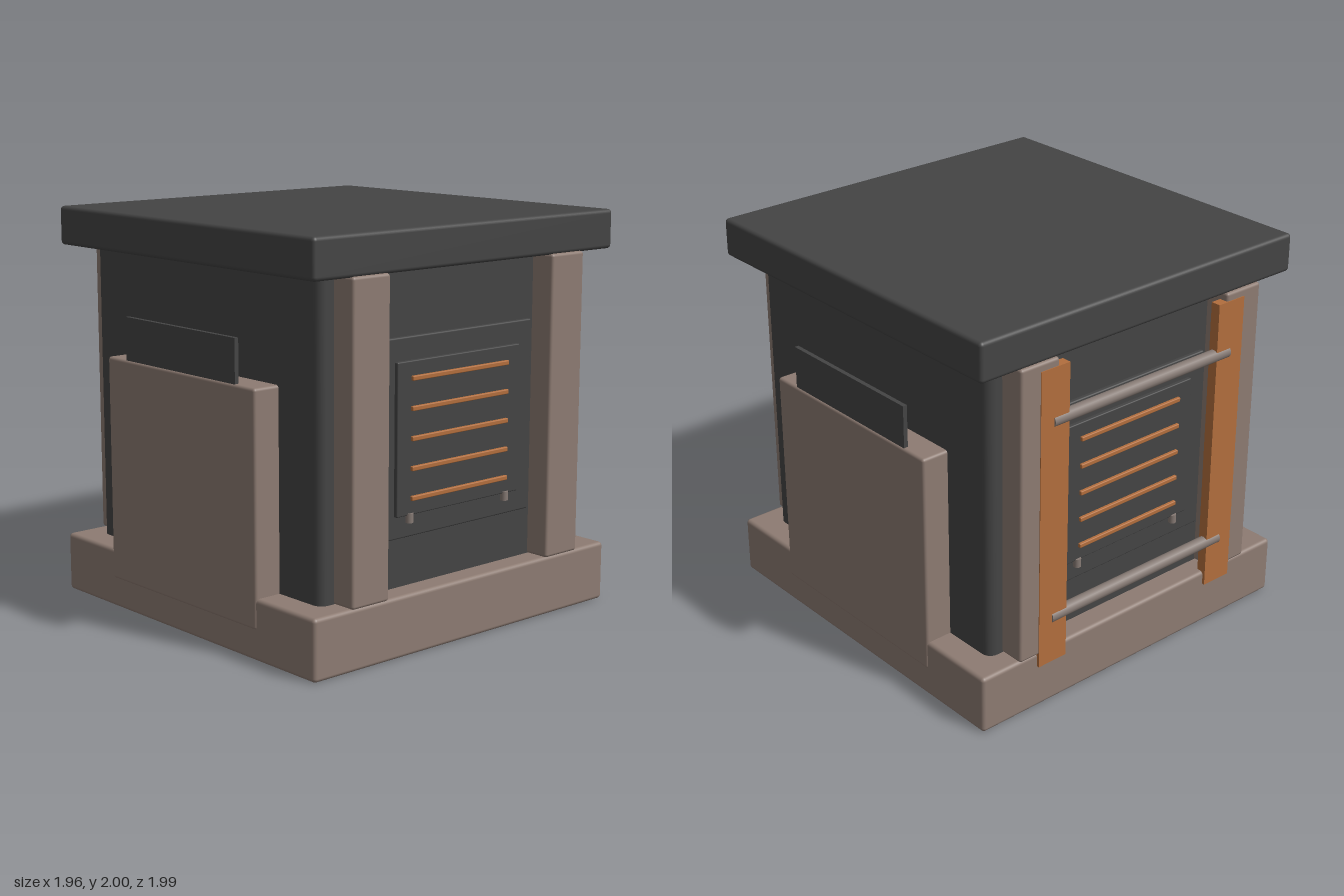
import * as THREE from 'three';
import { RoundedBoxGeometry } from 'three/addons/geometries/RoundedBoxGeometry.js';

const mat = (name, color) => {
  const m = new THREE.MeshStandardMaterial({ color });
  m.name = name;
  return m;
};

export function createModel() {
  const dark = mat('charcoal', 0x444444);
  const stone = mat('taupe stone', 0x8d7b72);
  const copper = mat('copper', 0xb26e3d);
  const steel = mat('warm grey metal', 0x857973);

  const model = new THREE.Group();
  model.name = 'ventilatedKiosk';

  // Box given by its low and high corners; r > 0 rounds the edges
  function box(parent, name, material, lo, hi, r = 0) {
    const s = hi.map((v, i) => v - lo[i]);
    const geo = r ? new RoundedBoxGeometry(...s, 3, r) : new THREE.BoxGeometry(...s);
    const mesh = new THREE.Mesh(geo, material);
    mesh.position.set(...hi.map((v, i) => (v + lo[i]) / 2));
    mesh.name = name;
    parent.add(mesh);
    return mesh;
  }

  function rod(parent, name, material, radius, length, pos, alongX) {
    const mesh = new THREE.Mesh(new THREE.CylinderGeometry(radius, radius, length, 16), material);
    if (alongX) mesh.rotation.z = Math.PI / 2;
    mesh.position.set(...pos);
    mesh.name = name;
    parent.add(mesh);
  }

  // Plinth, core and roof slab
  box(model, 'base', stone, [-0.977, 0, -0.977], [0.977, 0.3, 0.977], 0.02);
  box(model, 'body', dark, [-0.84, 0.2, -0.86], [0.84, 1.9, 0.86], 0.05);
  box(model, 'roof', dark, [-0.977, 1.805, -0.977], [0.977, 2, 0.977], 0.02);

  // Front and back: pillars, framed panel, louvre bars and small pegs
  for (const side of ['front', 'back']) {
    const face = new THREE.Group();
    face.name = side + 'Face';
    if (side === 'back') face.rotation.y = Math.PI;
    model.add(face);

    box(face, 'panelFrame', dark, [-0.505, 0.54, 0.84], [0.505, 1.49, 0.88], 0.008);
    box(face, 'ventPanel', dark, [-0.405, 0.65, 0.86], [0.405, 1.38, 0.9], 0.006);
    for (let i = 0; i < 5; i++) {
      box(face, 'louvreBar', copper,
        [-0.32, 0.719 + i * 0.142, 0.89], [0.32, 0.742 + i * 0.142, 0.915], 0.005);
    }
    for (const s of [-1, 1]) {
      box(face, 'pillar', stone,
        [s * 0.645 - 0.113, 0.298, 0.82], [s * 0.645 + 0.113, 1.81, 0.987], 0.015);
      rod(face, 'peg', steel, 0.019, 0.045, [s * 0.32, 0.637, 0.895], false);
    }
  }

  // Side slabs with a thin upright plate set into the top
  for (const s of [-1, 1]) {
    const wing = new THREE.Group();
    wing.name = s > 0 ? 'leftWing' : 'rightWing';
    if (s < 0) wing.rotation.y = Math.PI;
    model.add(wing);
    box(wing, 'sideSlab', stone, [0.8, 0.15, -0.572], [0.982, 1.285, 0.572], 0.015);
    box(wing, 'sidePlate', dark, [0.952, 1.2, -0.424], [0.974, 1.498, 0.424]);
  }

  // Copper uprights and cross rails on the back
  const rack = new THREE.Group();
  rack.name = 'backRack';
  model.add(rack);
  for (const s of [-1, 1]) {
    box(rack, 'upright', copper,
      [s * 0.56 - 0.085, 0.23, -0.991], [s * 0.56 + 0.085, 1.77, -0.94]);
  }
  for (const y of [0.47, 1.5]) {
    rod(rack, 'crossRail', steel, 0.032, 1.13, [0, y, -0.968], true);
  }
  return model;
}
